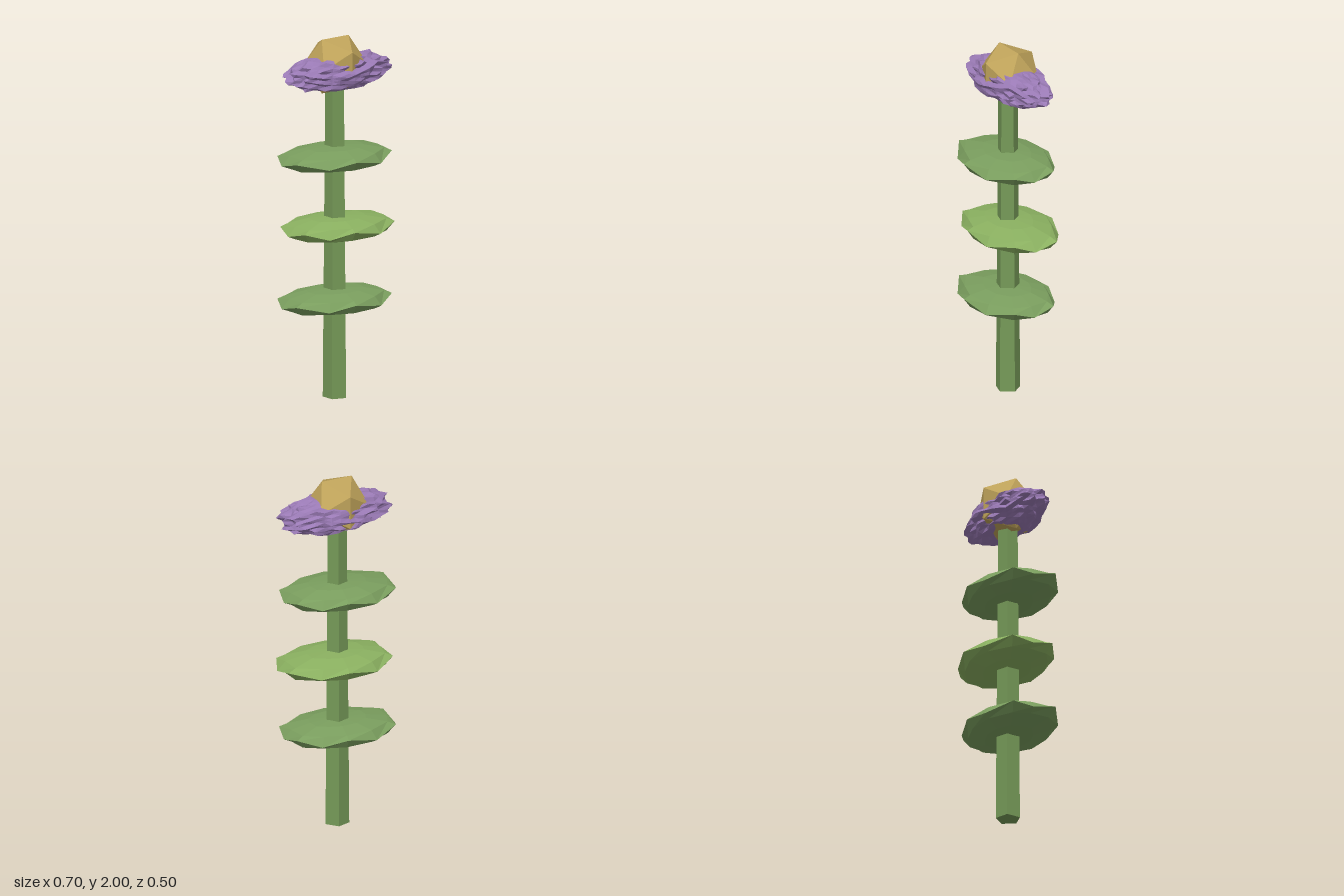
import * as THREE from 'three';

const mat = (color) => new THREE.MeshStandardMaterial({ color, flatShading: true });

function add(parent, name, geometry, material, x, y, z) {
  const mesh = new THREE.Mesh(geometry, material);
  mesh.name = name;
  mesh.position.set(x, y, z);
  parent.add(mesh);
  return mesh;
}

// Irregular leaf outline (x, z) about the stem axis
const OUTLINE = [
  [-0.34, -0.045], [-0.29, -0.145], [-0.13, -0.225], [0.05, -0.23], [0.185, -0.18], [0.295, -0.1],
  [0.307, 0.03], [0.275, 0.14], [0.13, 0.23], [-0.055, 0.25], [-0.2, 0.195], [-0.344, 0.09],
];
// Lens profile: [outline scale, height]; the open poles sit inside the stem
const PROFILE = [[0.1, -0.064], [0.5, -0.057], [0.86, -0.034], [1, 0], [0.86, 0.034], [0.5, 0.057], [0.1, 0.064]];

function leafGeometry() {
  const positions = [], index = [], n = OUTLINE.length;
  PROFILE.forEach(([s, h]) => OUTLINE.forEach(([x, z], j) => {
    // the rim zigzags up and down
    const wave = s === 1 ? (j % 2 ? 0.016 : -0.016) : 0;
    positions.push(x * s, h + wave, z * s);
  }));
  for (let i = 0; i < PROFILE.length - 1; i++) {
    for (let j = 0; j < n; j++) {
      const a = i * n + j, b = i * n + (j + 1) % n;
      index.push(a, a + n, b, b, a + n, b + n);
    }
  }
  const geo = new THREE.BufferGeometry();
  geo.setAttribute('position', new THREE.Float32BufferAttribute(positions, 3));
  geo.setIndex(index);
  const flat = geo.toNonIndexed();
  flat.computeVertexNormals();
  return flat;
}

// Flattened ball with a spiky surface; the spike depends only on position, so facets stay joined
function petalGeometry() {
  const geo = new THREE.IcosahedronGeometry(1, 6);
  const p = geo.attributes.position, v = new THREE.Vector3();
  for (let i = 0; i < p.count; i++) {
    v.fromBufferAttribute(p, i);
    const k = Math.round(v.x * 500) * 12.9898 + Math.round(v.y * 500) * 78.233 + Math.round(v.z * 500) * 37.719;
    const hash = Math.abs(Math.sin(k) * 43758.5453) % 1;
    const r = 0.84 + 0.2 * hash;
    const y = THREE.MathUtils.clamp(v.y * r * 0.112, -0.092, 0.092);
    p.setXYZ(i, v.x * r * 0.345, y, v.z * r * 0.166);
  }
  geo.computeVertexNormals();
  return geo;
}

export function createModel() {
  const group = new THREE.Group();
  group.name = 'flower';

  // Five-sided tapering stem with one edge towards +x
  const stem = new THREE.CylinderGeometry(0.055, 0.069, 1.8, 5);
  stem.rotateY(-2 * Math.PI / 5 + Math.PI / 2 + 2 * Math.PI / 5);
  add(group, 'stem', stem, mat(0x769a58), -0.014, 0.9, -0.003);

  // Three leaf discs, the middle one turned half way round
  const leaf = leafGeometry();
  [0.545, 0.945, 1.34].forEach((y, i) => {
    const m = add(group, 'leaf', leaf, mat(i === 1 ? 0x8ab060 : 0x7a9e5e), -0.011, y, -0.002);
    m.rotation.y = i === 1 ? Math.PI : 0;
  });

  // Blossom
  add(group, 'petals', petalGeometry(), mat(0x9a7ab5), 0, 1.812, -0.004);
  add(group, 'flowerCentre', new THREE.IcosahedronGeometry(0.176, 0), mat(0xbfa35a), -0.012, 1.85, -0.008);

  return group;
}
